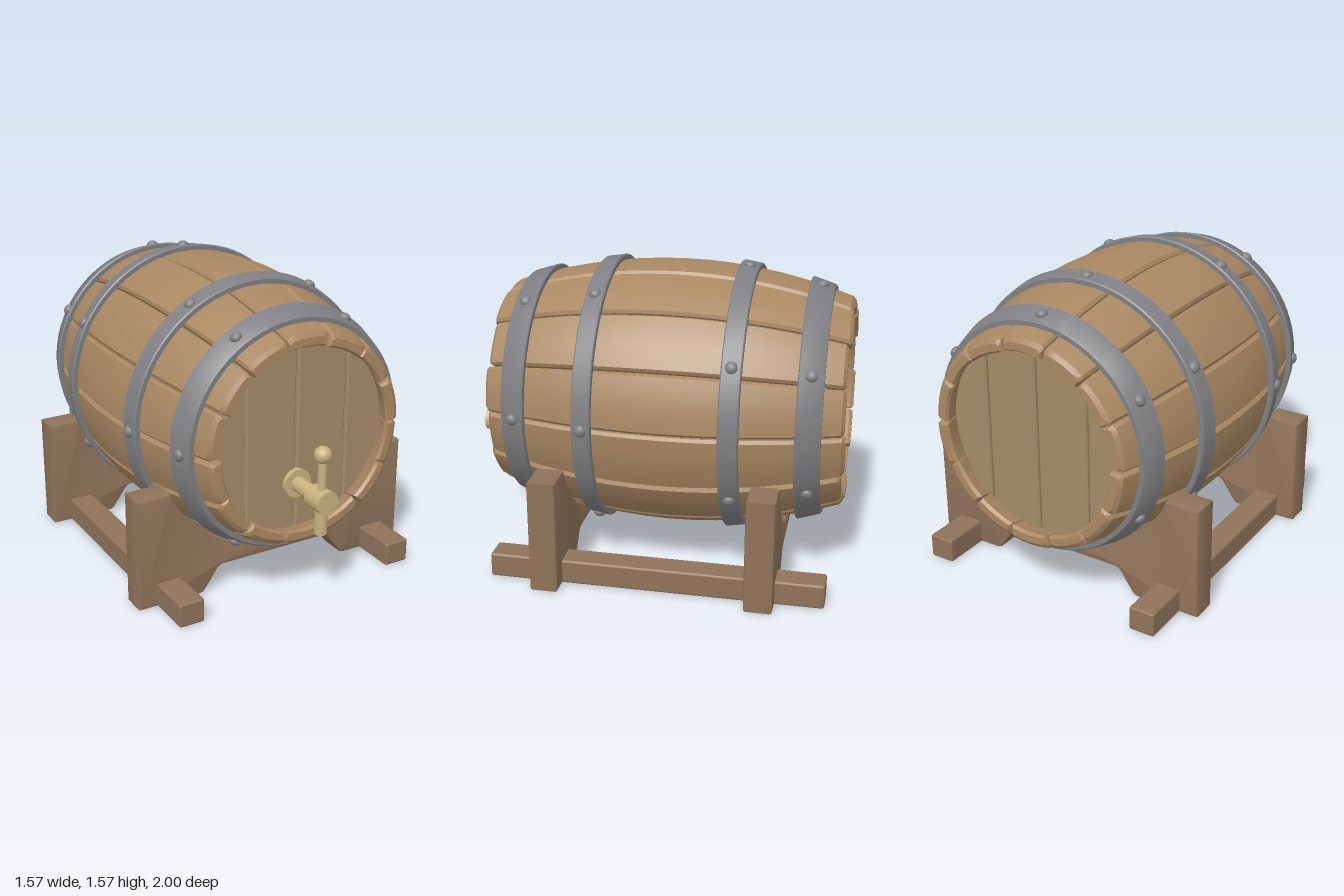
import * as THREE from 'three';
import { toCreasedNormals } from 'three/addons/utils/BufferGeometryUtils.js';
import { RoundedBoxGeometry } from 'three/addons/geometries/RoundedBoxGeometry.js';

const AXIS_Y = 0.855, MID_Z = -0.09, STAVES = 14;
const mat = (color) => new THREE.MeshStandardMaterial({ color });
const wood = mat(0xa98862), headWood = mat(0xa58b68), standWood = mat(0x8f735a);
const iron = mat(0x808084), brass = mat(0xc8b27f);

// Outer radius of the bulging barrel at depth z
const radiusAt = (z) => 0.695 - 0.16 * ((z - MID_Z) / 0.91) ** 2;

function add(parent, name, geometry, material, x = 0, y = 0, z = 0) {
  const mesh = new THREE.Mesh(geometry, material);
  mesh.name = name;
  mesh.position.set(x, y, z);
  parent.add(mesh);
  return mesh;
}

// One curved stave: cross-sections with bevelled edges, swept from back to front
function staveGeometry(angle, z0, z1) {
  const thick = 0.07, bevel = 0.014, steps = 4, rings = [];
  const section = (z, inset) => {
    const R = radiusAt(z) - inset, r = radiusAt(z) - thick + inset;
    const half = Math.PI / STAVES - (0.004 + inset * 0.6) / R, cut = bevel / R;
    const outer = [[R - bevel, -half]];
    for (let i = 0; i <= steps; i++) outer.push([R, (half - cut) * (2 * i / steps - 1)]);
    outer.push([R - bevel, half]);
    const inner = outer.map(([, a]) => [r, a]).reverse();
    return outer.concat(inner).map(([q, a]) =>
      [q * Math.cos(angle + a), q * Math.sin(angle + a), z]);
  };
  rings.push(section(z0, 0.016));
  for (let i = 0; i <= 14; i++) {
    const z = THREE.MathUtils.lerp(z0 + 0.016, z1 - 0.016, i / 14);
    rings.push(section(z, 0));
  }
  rings.push(section(z1, 0.016));

  const pos = [];
  const quad = (a, b, c, d) => pos.push(...a, ...b, ...c, ...a, ...c, ...d);
  const n = rings[0].length, first = rings[0], last = rings[rings.length - 1];
  for (let j = 0; j < rings.length - 1; j++)
    for (let k = 0; k < n; k++) {
      const m = (k + 1) % n;
      quad(rings[j][k], rings[j][m], rings[j + 1][m], rings[j + 1][k]);
    }
  for (let k = 0; k < n / 2 - 1; k++) {
    quad(last[k], last[k + 1], last[n - 2 - k], last[n - 1 - k]);
    quad(first[n - 1 - k], first[n - 2 - k], first[k + 1], first[k]);
  }
  const g = new THREE.BufferGeometry();
  g.setAttribute('position', new THREE.Float32BufferAttribute(pos, 3));
  return toCreasedNormals(g, 0.5);
}

// Flat conical band following the bulge
function hoopGeometry(z, width) {
  const a = z - width / 2, b = z + width / 2, e = 0.006;
  const out = (q) => radiusAt(q) + 0.028, inn = (q) => radiusAt(q) - 0.004;
  const pts = [[inn(a), a], [out(a) - e, a], [out(a), a + e], [out(b), b - e],
    [out(b) - e, b], [inn(b), b], [inn(a), a]].map((p) => new THREE.Vector2(...p));
  return toCreasedNormals(new THREE.LatheGeometry(pts, 72).rotateX(Math.PI / 2), 0.5);
}

// Plank of a round head between two x positions
function plankGeometry(x0, x1) {
  const R = 0.525, N = 10, pts = [];
  for (let i = 0; i <= N; i++) {
    const x = THREE.MathUtils.lerp(x1, x0, i / N);
    pts.push(new THREE.Vector2(x, Math.sqrt(Math.max(R * R - x * x, 0))));
  }
  for (let i = N; i >= 0; i--) pts.push(new THREE.Vector2(pts[i].x, -pts[i].y - 0.0001));
  return new THREE.ExtrudeGeometry(new THREE.Shape(pts), {
    depth: 0.034, bevelThickness: 0.008, bevelSize: 0.008, bevelOffset: -0.008, bevelSegments: 1,
  }).translate(0, 0, -0.017);
}

// Cradle board with a round seat and a raised foot arch
function cradleGeometry() {
  const W = 0.785, top = 0.595, R = 0.655;
  const a = Math.asin((top - AXIS_Y) / R);
  const s = new THREE.Shape();
  s.moveTo(-W, 0);
  s.lineTo(-0.445, 0);
  s.quadraticCurveTo(-0.425, 0, -0.41, 0.02);
  s.lineTo(-0.34, 0.118);
  s.quadraticCurveTo(-0.328, 0.135, -0.305, 0.135);
  s.lineTo(0.305, 0.135);
  s.quadraticCurveTo(0.328, 0.135, 0.34, 0.118);
  s.lineTo(0.41, 0.02);
  s.quadraticCurveTo(0.425, 0, 0.445, 0);
  s.lineTo(W, 0);
  s.lineTo(W, top);
  s.absarc(0, AXIS_Y, R, a, -Math.PI - a, true);
  s.lineTo(-W, top);
  return toCreasedNormals(new THREE.ExtrudeGeometry(s, {
    depth: 0.121, bevelThickness: 0.012, bevelSize: 0.012, bevelOffset: -0.012,
    bevelSegments: 2, curveSegments: 40,
  }).translate(0, 0, -0.0605), 0.5);
}

export function createModel() {
  const model = new THREE.Group();
  model.name = 'barrelOnStand';

  const barrel = new THREE.Group();
  barrel.name = 'barrel';
  barrel.position.y = AXIS_Y;
  model.add(barrel);

  // Staves with slightly uneven ends
  for (let i = 0; i < STAVES; i++) {
    const angle = (i + 0.5) * 2 * Math.PI / STAVES;
    const z0 = -0.993 + 0.007 * Math.sin(i * 2.3), z1 = 0.81 + 0.007 * Math.sin(i * 3.7 + 1);
    add(barrel, 'stave', staveGeometry(angle, z0, z1), wood);
  }

  // Recessed heads, four planks each
  const edges = [-0.525, -0.29, 0, 0.29, 0.525];
  for (const [name, z] of [['frontHead', 0.69], ['backHead', -0.87]])
    for (let i = 0; i < 4; i++)
      add(barrel, name + 'Plank', plankGeometry(edges[i] + 0.005, edges[i + 1] - 0.005), headWood, 0, 0, z);

  // Hoops with six rivets each: depth, width, first rivet angle
  const rivet = new THREE.SphereGeometry(0.031, 16, 10).scale(0.75, 1, 1);
  for (const [z, width, start] of [[0.65, 0.125, 0], [0.275, 0.1, 0],
    [-0.45, 0.1, Math.PI / 6], [-0.825, 0.125, Math.PI / 6]]) {
    add(barrel, 'hoop', hoopGeometry(z, width), iron);
    const r = radiusAt(z) + 0.026;
    for (let i = 0; i < 6; i++) {
      const a = start + i * Math.PI / 3;
      add(barrel, 'rivet', rivet, iron, r * Math.cos(a), r * Math.sin(a), z).rotation.z = a;
    }
  }

  // Stand: two cradles across two long runners
  const stand = new THREE.Group();
  stand.name = 'stand';
  model.add(stand);
  const cradle = cradleGeometry();
  for (const z of [0.463, -0.63]) add(stand, 'cradle', cradle, standWood, 0, 0, z);
  const runner = new RoundedBoxGeometry(0.138, 0.128, 1.725, 2, 0.012);
  for (const side of [-1, 1]) add(stand, 'runner', runner, standWood, side * 0.618, 0.064, -0.0875);

  // Tap
  const tap = new THREE.Group();
  tap.name = 'tap';
  tap.position.set(0, 0.6, 0.945);
  model.add(tap);
  const rod = (r, len) => new THREE.CylinderGeometry(r, r, len, 32);
  add(tap, 'tapFlange', rod(0.075, 0.035).rotateX(Math.PI / 2), brass, 0, 0, -0.222);
  add(tap, 'tapPipe', rod(0.04, 0.25).rotateX(Math.PI / 2), brass, 0, 0, -0.125);
  add(tap, 'tapBody', rod(0.061, 0.115).rotateX(Math.PI / 2), brass, 0, 0, -0.0025);
  add(tap, 'tapSpout', rod(0.032, 0.18), brass, 0, -0.09, 0);
  add(tap, 'tapStem', rod(0.022, 0.22), brass, 0, 0.11, 0);
  add(tap, 'tapKnob', new THREE.SphereGeometry(0.044, 24, 16), brass, 0, 0.235, 0);
  return model;
}
